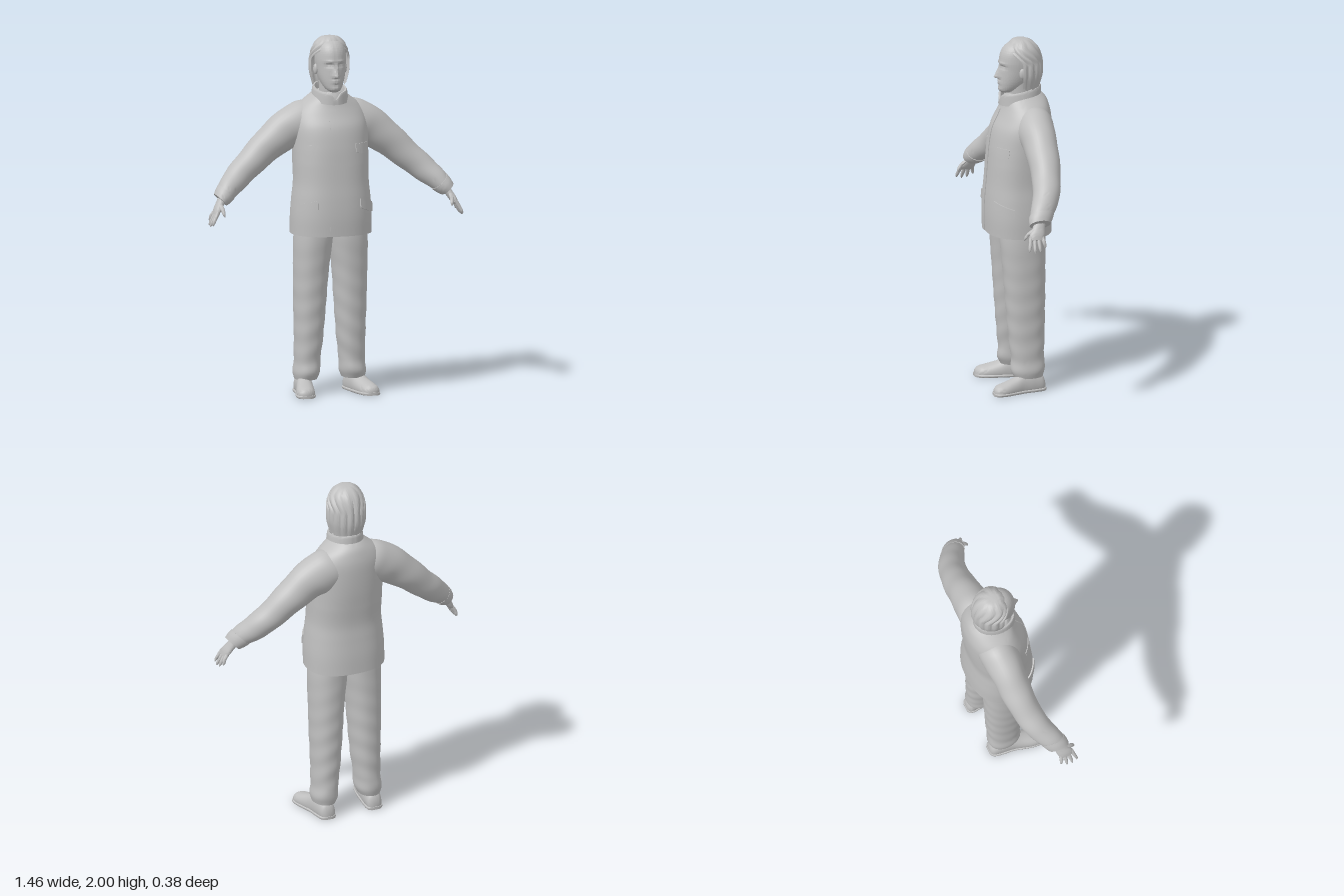
import * as THREE from 'three';
import { toCreasedNormals } from 'three/addons/utils/BufferGeometryUtils.js';

const grey = new THREE.MeshStandardMaterial({ color: 0xbfbfbf, side: THREE.DoubleSide });
grey.name = 'plain grey';

// Smooth interpolation of rows [key, a, b, ...] at a key
function sample(rows, k) {
  const n = rows.length;
  let i = 0;
  while (i < n - 2 && k > rows[i + 1][0]) i++;
  const p = rows[i], q = rows[i + 1], h = q[0] - p[0];
  const t = Math.min(1, Math.max(0, (k - p[0]) / h));
  const slope = (j, c) => {
    const a = rows[Math.max(0, j - 1)], b = rows[Math.min(n - 1, j + 1)];
    return (b[c] - a[c]) / (b[0] - a[0]);
  };
  const t2 = t * t, t3 = t2 * t;
  return p.slice(1).map((_, j) => {
    const c = j + 1;
    return p[c] * (2 * t3 - 3 * t2 + 1) + q[c] * (3 * t2 - 2 * t3)
      + h * (slope(i, c) * (t3 - 2 * t2 + t) + slope(i + 1, c) * (t3 - t2));
  });
}

// Grid surface from fn(u, v) -> [x, y, z]; 'wrap' joins u = 0 and u = 1, 'caps' closes both ends
function surface(nu, nv, fn, { wrap = true, caps = false, crease = 0.9 } = {}) {
  const pos = [], idx = [], cols = wrap ? nu : nu + 1;
  for (let j = 0; j <= nv; j++) for (let i = 0; i < cols; i++) pos.push(...fn(i / nu, j / nv));
  for (let j = 0; j < nv; j++) for (let i = 0; i < nu; i++) {
    const a = j * cols + i, b = j * cols + (i + 1) % cols;
    idx.push(a, a + cols, b, b, a + cols, b + cols);
  }
  if (caps) for (const j of [0, nv]) {
    const c = [0, 0, 0], centre = pos.length / 3;
    for (let i = 0; i < cols; i++) for (let k = 0; k < 3; k++) c[k] += pos[(j * cols + i) * 3 + k] / cols;
    pos.push(...c);
    for (let i = 0; i < cols; i++) {
      const a = j * cols + i, b = j * cols + (i + 1) % cols;
      idx.push(centre, ...(j ? [b, a] : [a, b]));
    }
  }
  const g = new THREE.BufferGeometry();
  g.setAttribute('position', new THREE.Float32BufferAttribute(pos, 3));
  g.setIndex(idx);
  return toCreasedNormals(g, crease);
}

// Mirror across x, keeping faces outward
function mirror(geo) {
  const g = geo.clone();
  for (const name of ['position', 'normal']) {
    const a = g.attributes[name];
    for (let i = 0; i < a.count; i += 3) {
      const v = [0, 2, 1].map(k => [-a.getX(i + k), a.getY(i + k), a.getZ(i + k)]);
      v.forEach((p, k) => a.setXYZ(i + k, ...p));
    }
  }
  return g;
}

const TAU = Math.PI * 2;
const bump = (d, w) => Math.exp(-((d / w) ** 2));
const pw = (c, e) => Math.sign(c) * Math.abs(c) ** e;

// Tube along points [x, y, z, radius, radiusZ]
function limb(points, nu = 20, nv = 30, wrinkle = 0) {
  const rows = points.map((p, i) => [i, ...p]), end = points.length - 1;
  return surface(nu, nv, (u, v) => {
    const [x, y, z, r, rz] = sample(rows, v * end);
    const a = sample(rows, Math.max(0, v * end - 0.1)), b = sample(rows, Math.min(end, v * end + 0.1));
    const l = Math.hypot(b[0] - a[0], b[1] - a[1]), tx = (b[0] - a[0]) / l, ty = (b[1] - a[1]) / l;
    const c = Math.cos(u * TAU), s = Math.sin(u * TAU);
    const w = 1 + wrinkle * Math.sin(v * 34 + 2 * c + s);
    return [x + ty * c * r * w, y - tx * c * r * w, z + s * rz * w];
  }, { caps: true });
}

// Jacket body: [y, half width, front z, back z]
const body = [
  [0.90, 0.225, 0.183, -0.183], [1.0, 0.225, 0.186, -0.18], [1.1, 0.218, 0.182, -0.172],
  [1.19, 0.209, 0.174, -0.166], [1.3, 0.21, 0.166, -0.175], [1.4, 0.212, 0.157, -0.184],
  [1.5, 0.213, 0.138, -0.188], [1.57, 0.2, 0.105, -0.186], [1.62, 0.165, 0.085, -0.176],
  [1.66, 0.115, 0.075, -0.16], [1.69, 0.08, 0.06, -0.13]];
function onBody(a, y, off = 0) {
  const [hx, zf, zb] = sample(body, y), mid = (zf + zb) / 2;
  const e = 0.84 + 0.16 * Math.max(0, Math.min(1, (y - 1.3) / 0.3));
  return [(hx + off) * pw(Math.cos(a), e), y, mid + ((zf - zb) / 2 + off) * pw(Math.sin(a), e)];
}

// Thin cloth plate lying on the jacket, between two angles, with its own top and bottom lines
function plate(a0, a1, top, bottom, off = 0.006, nv = 6) {
  const n = 12, step = (t, m) => Math.min(1, Math.max(0, (t * m - 1) / (m - 2)));
  return surface(n, nv, (u, v) => {
    const s = step(u, n), edge = u < 0.01 || u > 0.99 || v < 0.01 || v > 0.99;
    const y = bottom(s) + (top(s) - bottom(s)) * step(v, nv);
    return onBody(a1 + (a0 - a1) * s, y, edge ? -0.004 : off);
  }, { wrap: false, crease: 0.5 });
}

// Head: [y, half width, front z, back z]
const skull = [
  [1.695, 0.022, 0.09, 0.035], [1.71, 0.042, 0.1, 0.0], [1.74, 0.06, 0.104, -0.05],
  [1.78, 0.073, 0.103, -0.085], [1.83, 0.081, 0.1, -0.108], [1.88, 0.084, 0.1, -0.115],
  [1.93, 0.078, 0.088, -0.112], [1.965, 0.058, 0.06, -0.09], [1.985, 0.025, 0.02, -0.05]];
function headPoint(u, v) {
  const y = 1.695 + 0.29 * v, [hx, zf, zb] = sample(skull, y);
  const c = Math.cos(u * TAU), s = Math.sin(u * TAU);
  const x = hx * c, ax = Math.abs(x);
  let z = (zf + zb) / 2 + (zf - zb) / 2 * pw(s, 0.9);
  if (s > 0) {
    const bridge = y < 1.785 ? bump(y - 1.785, 0.008) : Math.max(0, 1 - (y - 1.785) / 0.075);
    z += 0.031 * bump(x, 0.009 + 0.006 * bridge) * bridge;                     // nose
    z -= 0.012 * bump(ax - 0.033, 0.018) * bump(y - 1.846, 0.011);             // eye sockets
    z += 0.005 * bump(ax - 0.033, 0.011) * bump(y - 1.843, 0.006);             // eyeballs
    z += 0.005 * bump(ax - 0.03, 0.025) * bump(y - 1.868, 0.008);              // brows
    z += 0.007 * bump(x, 0.02) * (bump(y - 1.763, 0.005) + bump(y - 1.749, 0.005)); // lips
    z += 0.006 * bump(x, 0.022) * bump(y - 1.715, 0.012);                      // chin
  }
  return [x, y, z];
}

// Hair: [v, spread, y], strands running down from the crown
const lock = [[0, 0, 1.998], [0.15, 0.42, 1.99], [0.35, 0.78, 1.95], [0.55, 0.97, 1.885],
  [0.8, 1, 1.80], [1, 0.84, 1.72]];
function hairPoint(u, v) {
  const open = THREE.MathUtils.smoothstep(v, 0.3, 0.62);
  const a = (u * 2 - 1) * THREE.MathUtils.lerp(Math.PI, 1.72, open);
  const [r, y] = sample(lock, v);
  const strand = Math.abs(Math.sin((u - 0.5) * 30)), w = r * (0.95 + 0.07 * strand);
  const c = Math.cos(a);
  return [0.112 * w * Math.sin(a), y - 0.018 * v * v * (1 - strand) + 0.012 * v * (1 - c),
    -0.02 - (c > 0 ? 0.125 : 0.09) * w * c];
}

export function createModel() {
  const model = new THREE.Group();
  const add = (name, geo) => {
    const m = new THREE.Mesh(geo, grey);
    m.name = name;
    model.add(m);
  };
  const pair = (name, geo) => { add('left' + name, geo); add('right' + name, mirror(geo)); };

  // Head
  add('head', surface(112, 90, headPoint, { caps: true, crease: 1.5 }));
  add('hair', surface(120, 28, hairPoint, { wrap: false, crease: 0.7 }));
  const ear = new THREE.SphereGeometry(1, 14, 10).toNonIndexed();
  ear.scale(0.011, 0.03, 0.017).rotateY(-0.3).translate(0.085, 1.815, -0.008);
  pair('Ear', ear);
  add('neck', surface(28, 8, (u, v) => [0.06 * Math.cos(u * TAU), 1.6 + 0.16 * v,
    -0.025 + 0.015 * v + 0.064 * Math.sin(u * TAU)]));

  // Jacket body and stand collar with a front notch
  add('jacketBody', surface(64, 60, (u, v) => onBody(u * TAU, 0.9 + 0.79 * v), { caps: true }));
  const collar = [[0, 0.102, 0], [0.45, 0.093, 0.95], [0.55, 0.087, 1], [0.65, 0.08, 0.95], [1, 0.074, 0]];
  add('collar', surface(64, 16, (u, v) => {
    const [r, h] = sample(collar, v), s = Math.sin(u * TAU), x = r * Math.cos(u * TAU);
    const top = 1.71 - 0.02 * s - (s > 0 ? 0.035 * bump(x, 0.02) : 0);
    const low = 1.645 - 0.02 * s;
    return [x, low + (top - low) * h, -0.017 + s * (r + 0.018) + 0.008 * s * h];
  }));

  // Front placket, pocket flaps
  add('frontPlacket', plate(1.57, 1.76, () => 1.6, () => 0.903, 0.004, 40));
  const chest = plate(0.62, 1.12, () => 1.41, s => 1.365 - 0.012 * Math.sin(s * Math.PI), 0.004);
  pair('ChestPocketFlap', chest);
  const hip = plate(0.32, 1.06, s => 1.105 - 0.035 * s,
    s => 1.055 - 0.035 * s - 0.008 * Math.sin(s * Math.PI), 0.007);
  pair('HipPocketFlap', hip);

  // Sleeves and cuffs
  pair('Sleeve', limb([
    [0.06, 1.53, -0.06, 0.10, 0.10], [0.15, 1.512, -0.06, 0.122, 0.107], [0.25, 1.468, -0.057, 0.108, 0.096],
    [0.355, 1.39, -0.053, 0.092, 0.088], [0.46, 1.298, -0.037, 0.079, 0.08],
    [0.545, 1.225, -0.008, 0.071, 0.078], [0.61, 1.167, 0.032, 0.058, 0.07],
    [0.65, 1.127, 0.055, 0.042, 0.058]], 32, 50, 0.014));
  pair('Cuff', limb([[0.616, 1.16, 0.037, 0.059, 0.071], [0.636, 1.14, 0.048, 0.055, 0.068],
    [0.656, 1.12, 0.057, 0.046, 0.06]], 28, 6));

  // Hands
  pair('Palm', limb([[0.635, 1.142, 0.05, 0.024, 0.033], [0.662, 1.1, 0.068, 0.021, 0.037],
    [0.682, 1.068, 0.082, 0.019, 0.044], [0.697, 1.043, 0.088, 0.012, 0.04]], 20, 14));
  for (let i = 0; i < 4; i++) {
    const z = 0.12 - i * 0.022, tip = 0.135 - i * 0.03, len = [0.9, 1, 0.95, 0.72][i];
    pair('Finger' + (i + 1), limb([[0.686, 1.06, z, 0.011, 0.011],
      [0.706, 1.06 - 0.038 * len, (z + tip) / 2, 0.0105, 0.0105],
      [0.686 + 0.036 * len, 1.06 - 0.066 * len, tip, 0.008, 0.008],
      [0.686 + 0.042 * len, 1.06 - 0.08 * len, tip, 0.003, 0.003]], 10, 10));
  }
  pair('Thumb', limb([[0.668, 1.1, 0.09, 0.014, 0.016], [0.664, 1.075, 0.125, 0.012, 0.012],
    [0.66, 1.05, 0.142, 0.009, 0.009], [0.657, 1.036, 0.147, 0.003, 0.003]], 10, 10));

  // Trouser legs: [y, inner x, outer x, front z, back z]
  const leg = [[0.08, 0.078, 0.198, 0.055, -0.108], [0.12, 0.06, 0.205, 0.07, -0.12],
    [0.18, 0.06, 0.2, 0.068, -0.116], [0.3, 0.046, 0.2, 0.08, -0.12], [0.5, 0.03, 0.204, 0.096, -0.125],
    [0.7, 0.015, 0.207, 0.111, -0.128], [0.86, -0.004, 0.207, 0.124, -0.13], [0.95, -0.01, 0.2, 0.125, -0.13]];
  pair('TrouserLeg', surface(36, 70, (u, v) => {
    const y = 0.08 + 0.87 * v, [xi, xo, zf, zb] = sample(leg, y);
    const c = Math.cos(u * TAU), s = Math.sin(u * TAU);
    const w = 1 + 0.022 * (1 - v) * Math.sin(y * 52 + 2.2 * c + 1.3 * s);
    return [(xi + xo) / 2 + (xo - xi) / 2 * pw(c, 0.88) * w, y, (zf + zb) / 2 + (zf - zb) / 2 * pw(s, 0.92) * w];
  }, { caps: true }));

  // Shoes and soles, turned out: [z, centre x, half width, height]
  const shoe = [[-0.118, 0.142, 0.022, 0.05], [-0.105, 0.142, 0.04, 0.085], [-0.05, 0.148, 0.047, 0.112],
    [0.01, 0.156, 0.047, 0.108], [0.06, 0.167, 0.051, 0.085], [0.12, 0.181, 0.053, 0.066],
    [0.165, 0.188, 0.044, 0.054], [0.185, 0.191, 0.022, 0.038]];
  const shoeLoft = (grow, shape) => surface(28, 36, (u, v) => {
    const z = -0.118 + 0.303 * v, [cx, hw, h] = sample(shoe, z), a = -u * TAU;
    return [cx + (hw + grow) * pw(Math.cos(a), 0.85), shape(Math.sin(a), h), z + grow * (2 * v - 1)];
  }, { caps: true });
  pair('Shoe', shoeLoft(0, (s, h) => Math.max(0.004, h * (0.36 + 0.64 * s))));
  pair('ShoeSole', shoeLoft(0.004, s => 0.008 + 0.008 * Math.max(-1, Math.min(1, s * 3))));

  return model;
}
